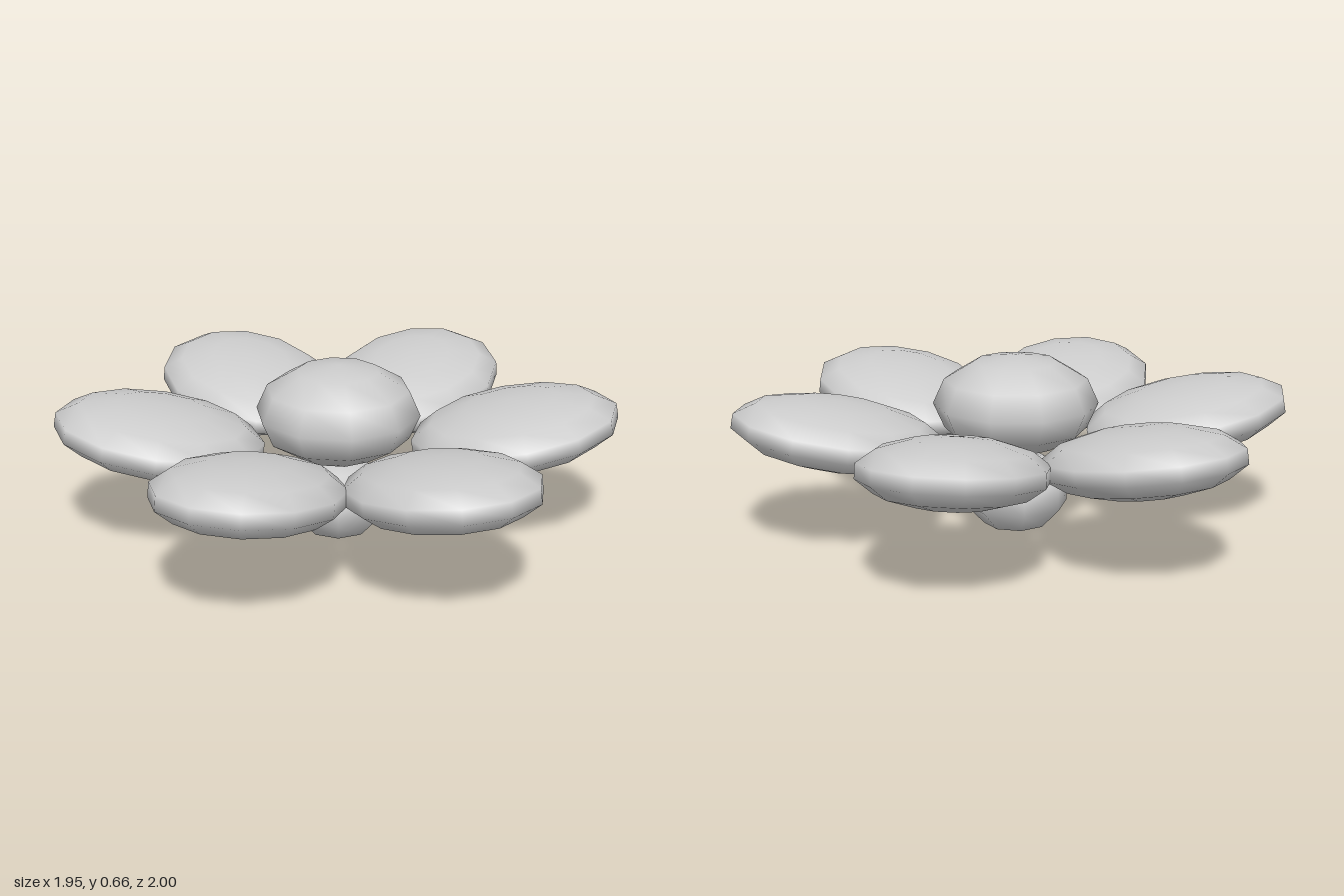
import * as THREE from 'three';

export function createModel() {
  const model = new THREE.Group();
  model.name = 'flower';
  const grey = new THREE.MeshStandardMaterial({ color: 0xcccccc });
  grey.name = 'pale grey';

  // Low-poly ellipsoid with its poles along y
  const ellipsoid = (name, radii, segments, rings) => {
    const mesh = new THREE.Mesh(new THREE.SphereGeometry(1, segments, rings), grey);
    mesh.name = name;
    mesh.scale.set(...radii);
    return mesh;
  };

  // Domed centre
  const centre = ellipsoid('flowerCentre', [0.3, 0.18, 0.3], 10, 6);
  centre.position.y = 0.48;
  centre.rotation.y = Math.PI / 2;
  model.add(centre);

  // Bulb at the base
  const bulb = ellipsoid('baseBulb', [0.2, 0.15, 0.2], 8, 5);
  bulb.position.y = 0.15;
  model.add(bulb);

  // Six petals, tipped upwards at their outer ends
  for (let i = 0; i < 6; i++) {
    const arm = new THREE.Group();
    arm.name = `petalArm${i + 1}`;
    arm.rotation.y = THREE.MathUtils.degToRad(17.4 + i * 60);
    const petal = ellipsoid(`petal${i + 1}`, [0.39, 0.12, 0.327], 12, 7);
    petal.position.set(0.645, 0.402, 0);
    petal.rotation.z = THREE.MathUtils.degToRad(10);
    arm.add(petal);
    model.add(arm);
  }
  return model;
}
